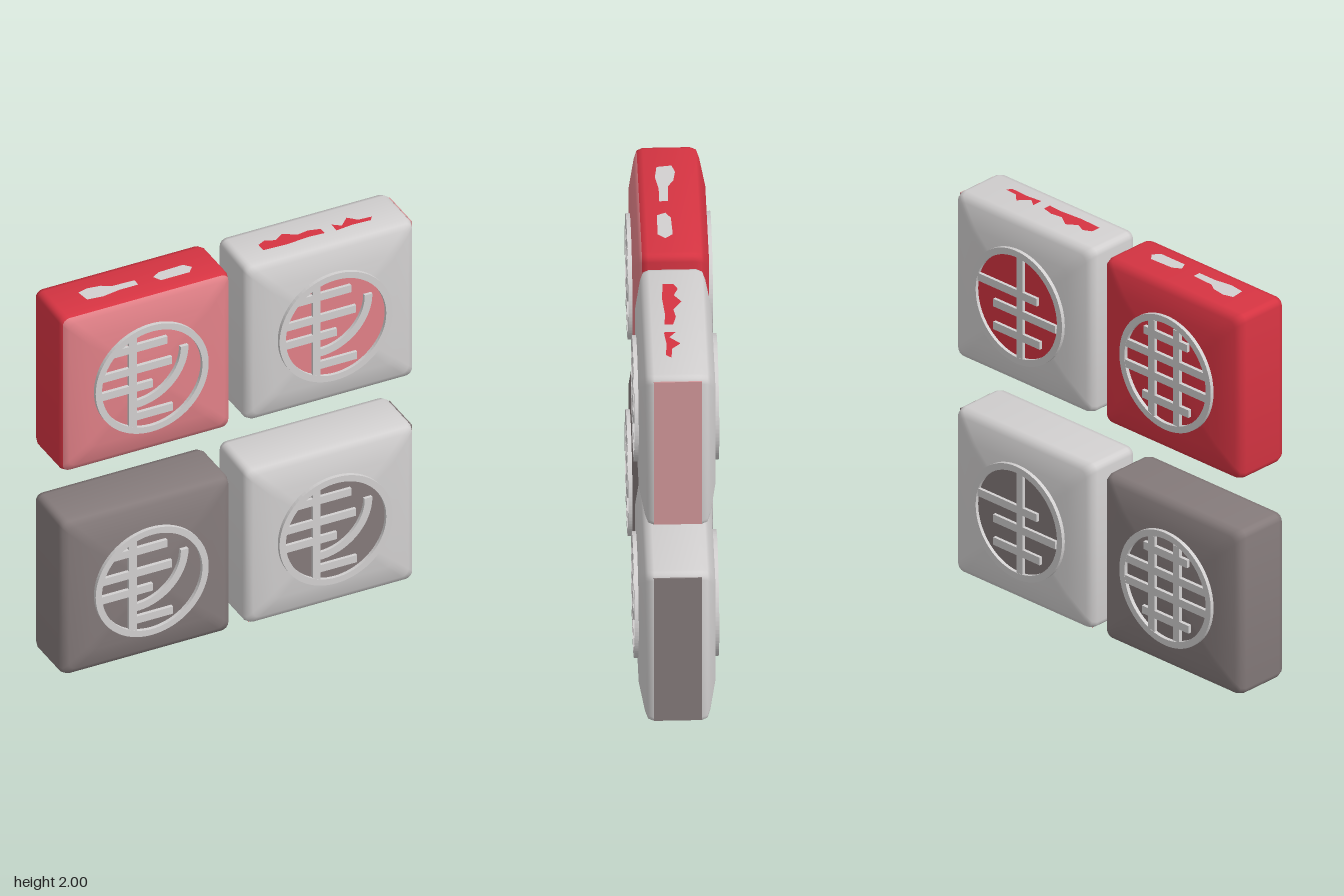
import * as THREE from 'three';
import { toCreasedNormals } from 'three/addons/utils/BufferGeometryUtils.js';

const paint = (name, color) => {
  const m = new THREE.MeshStandardMaterial({ color });
  m.name = name;
  return m;
};

const HX = 0.44, HY = 0.43;    // half width and height of a tile
const FACE = 0.178;            // z of the flat middle of each face
const TOP = 0.197;             // z of the raised relief

// Rounded rectangle outline, counter-clockwise
function outline(inset) {
  const r = 0.035, pts = [];
  const corners = [[1, 1], [-1, 1], [-1, -1], [1, -1]];
  corners.forEach(([sx, sy], q) => {
    for (let i = 0; i <= 4; i++) {
      const a = (q + i / 4) * Math.PI / 2;
      pts.push([sx * (HX - inset - r) + r * Math.cos(a), sy * (HY - inset - r) + r * Math.sin(a)]);
    }
  });
  return pts;
}

// Pillow-shaped tile lofted through outlines; groups: back, sides, front
function tileGeometry() {
  const half = [[0, 0.11], [0.008, 0.138], [0.035, 0.152], [0.13, FACE]];
  const levels = [...half.map(([i, z]) => [i, -z]).reverse(), ...half];
  const pos = [], idx = [], n = 20;
  for (const [inset, z] of levels) for (const [x, y] of outline(inset)) pos.push(x, y, z);
  const back = pos.length / 3, front = back + 1;
  pos.push(0, 0, -FACE, 0, 0, FACE);
  const g = new THREE.BufferGeometry();
  const marks = [0];
  for (let j = 0; j < n; j++) idx.push(back, (j + 1) % n, j);
  for (let l = 0; l < levels.length - 1; l++) {
    if (l === 2 || l === 5) marks.push(idx.length);
    for (let j = 0; j < n; j++) {
      const a = l * n + j, b = l * n + (j + 1) % n;
      idx.push(a, b, b + n, a, b + n, a + n);
    }
  }
  const last = (levels.length - 1) * n;
  for (let j = 0; j < n; j++) idx.push(front, last + j, last + (j + 1) % n);
  marks.push(idx.length);
  g.setAttribute('position', new THREE.Float32BufferAttribute(pos, 3));
  g.setIndex(idx);
  for (let i = 0; i < 3; i++) g.addGroup(marks[i], marks[i + 1] - marks[i], i);
  return toCreasedNormals(g, 0.95);
}

function add(parent, name, geometry, material, x = 0, y = 0, z = 0) {
  const m = new THREE.Mesh(geometry, material);
  m.name = name;
  m.position.set(x, y, z);
  parent.add(m);
  return m;
}

// Flat curved band between two radii
function band(r0, r1, a0, a1) {
  const s = new THREE.Shape();
  s.absarc(0, 0, r1, a0, a1, false);
  s.absarc(0, 0, r0, a1, a0, true);
  return new THREE.ExtrudeGeometry(s, { depth: TOP - FACE + 0.01, bevelEnabled: false, curveSegments: 16 });
}

function ringGeometry() {
  const s = new THREE.Shape().absarc(0, 0, 0.295, 0, Math.PI * 2, false);
  s.holes.push(new THREE.Path().absarc(0, 0, 0.262, 0, Math.PI * 2, true));
  return new THREE.ExtrudeGeometry(s, { depth: TOP - FACE + 0.01, bevelEnabled: false, curveSegments: 40 });
}

// Bars as [centre x, centre y, width, height]
const T = 0.04;
const frontBars = [
  [-0.1, 0, T, 0.5], [-0.06, 0.19, 0.28, T], [-0.08, 0.07, 0.37, T],
  [-0.13, -0.03, 0.27, T], [0, -0.19, 0.22, T],
];
const latticeBars = [
  [-0.09, 0, T, 0.5], [0.07, 0, T, 0.5], [0, 0.07, 0.52, T], [0, -0.04, 0.53, T],
  [0, 0.18, 0.28, T], [0, -0.16, 0.3, T],
];
const waveBars = [
  [0.02, 0, T, 0.53], [-0.06, 0.07, 0.38, T], [0.05, -0.03, 0.4, T], [0, -0.15, 0.3, T],
];

// Raised round ornament: ring, inlay disc, bars and an optional sweep
function medallion(bars, sweep, white, inlay) {
  const g = new THREE.Group();
  add(g, 'ring', ringGeometry(), white, 0, 0, FACE - 0.01);
  if (inlay) add(g, 'inlayDisc', new THREE.CircleGeometry(0.27, 48), inlay, 0, 0, FACE + 0.002);
  for (const [x, y, w, h] of bars)
    add(g, 'bar', new THREE.BoxGeometry(w, h, 0.028), white, x, y, TOP - 0.015);
  if (sweep) add(g, 'sweep', band(0.23, 0.27, -Math.PI / 2, 0), white, -0.08, 0.13, FACE - 0.011);
  return g;
}

// Thin painted patch lying on top of a tile
function topPatch(points) {
  const s = new THREE.Shape(points.map(([x, z]) => new THREE.Vector2(x, -z)));
  return new THREE.ShapeGeometry(s).rotateX(-Math.PI / 2);
}

export function createModel() {
  const white = paint('paleGrey', 0xd2d0d0);
  const pink = paint('pink', 0xe28188);
  const rose = paint('dustyRose', 0xd4989b);
  const red = paint('red', 0xd63442);
  const grey = paint('warmGrey', 0x857b7b);
  const model = new THREE.Group();
  model.name = 'tileSet';
  const body = tileGeometry();

  const tiles = [
    { name: 'redTile', x: -0.48, y: 1.567, mats: [red, red, pink], back: latticeBars },
    { name: 'upperPaleTile', x: 0.48, y: 1.567, mats: [white, white, white], back: waveBars, inlay: pink, backInlay: red, side: rose },
    { name: 'greyTile', x: -0.48, y: 0.435, mats: [grey, grey, grey], back: latticeBars },
    { name: 'lowerPaleTile', x: 0.48, y: 0.435, mats: [white, white, white], back: waveBars, inlay: grey, backInlay: grey, side: grey, base: red },
  ];

  for (const t of tiles) {
    const g = new THREE.Group();
    g.name = t.name;
    g.position.set(t.x, t.y, 0);
    add(g, 'tileBody', body, t.mats);

    const front = medallion(frontBars, true, white, t.inlay);
    front.name = 'frontMedallion';
    front.position.x = 0.005;
    const back = medallion(t.back, false, white, t.backInlay);
    back.name = 'backMedallion';
    back.rotation.y = Math.PI;
    g.add(front, back);

    // Painted side and base panels
    if (t.side) add(g, 'sidePanel', new THREE.BoxGeometry(0.006, 0.82, 0.225), t.side, HX);
    if (t.base) add(g, 'basePanel', new THREE.BoxGeometry(0.82, 0.006, 0.225), t.base, 0, -HY);
    model.add(g);
  }

  // Worn paint patches on the upper tiles
  const patches = [
    [white, [[-0.75, -0.02], [-0.7, -0.035], [-0.63, -0.025], [-0.59, 0], [-0.47, 0.005], [-0.47, 0.045], [-0.57, 0.045], [-0.66, 0.06], [-0.74, 0.05]]],
    [white, [[-0.38, 0.02], [-0.34, -0.005], [-0.21, -0.01], [-0.18, 0.025], [-0.21, 0.06], [-0.36, 0.06]]],
    [red, [[0.18, 0], [0.22, -0.02], [0.27, 0], [0.32, -0.035], [0.38, 0.005], [0.44, -0.005], [0.5, 0.01], [0.5, 0.05], [0.42, 0.045], [0.3, 0.055], [0.18, 0.05]]],
    [red, [[0.56, 0.055], [0.56, 0], [0.6, 0.03], [0.65, -0.02], [0.69, 0.02], [0.76, 0.025], [0.74, 0.05], [0.65, 0.045]]],
  ];
  for (const [m, pts] of patches) add(model, 'paintPatch', topPatch(pts), m, 0, 2, 0);
  return model;
}
